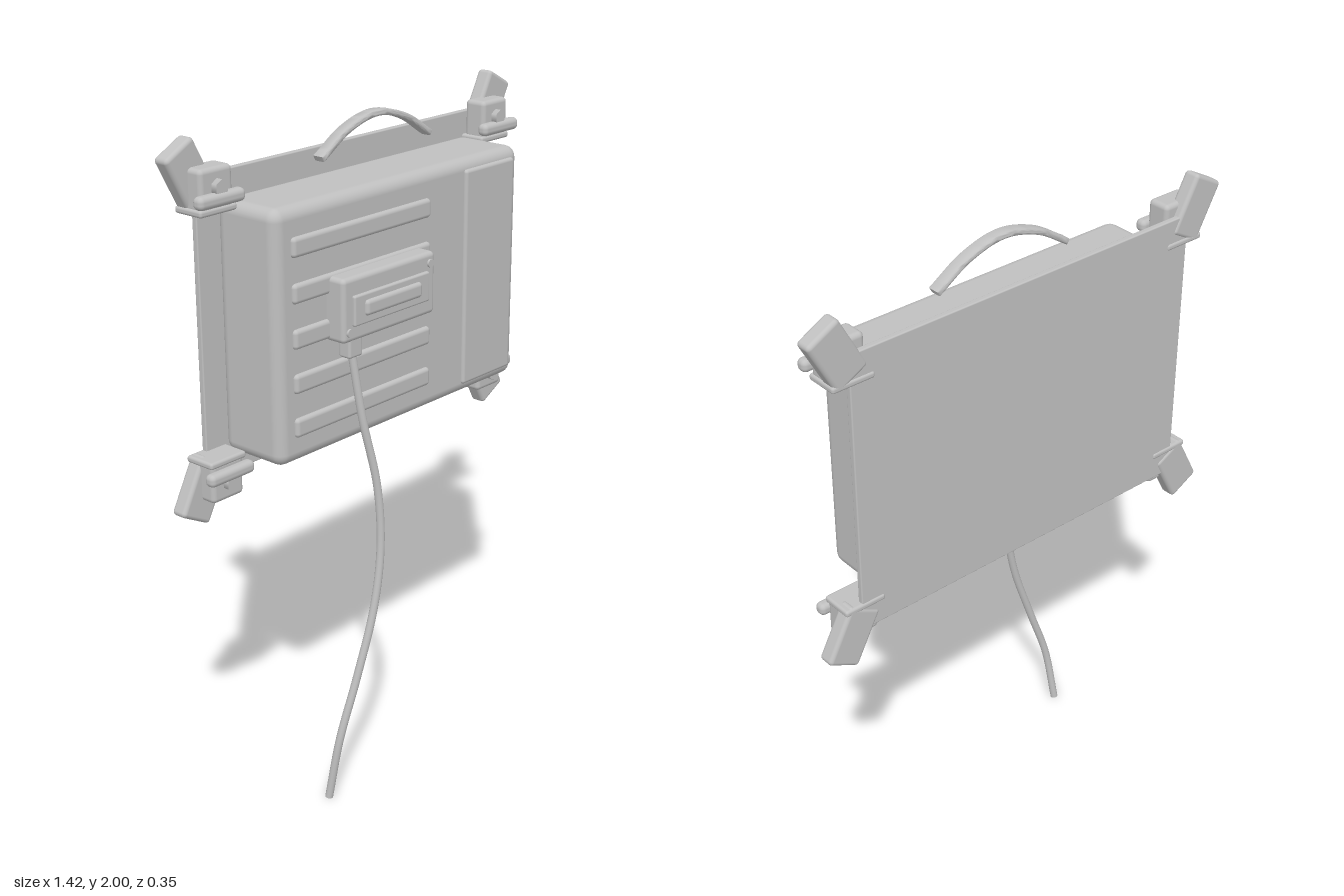
import * as THREE from 'three';
import { RoundedBoxGeometry } from 'three/addons/geometries/RoundedBoxGeometry.js';
import { toCreasedNormals } from 'three/addons/utils/BufferGeometryUtils.js';

export function createModel() {
  const model = new THREE.Group();
  model.name = 'wallUnit';
  const grey = new THREE.MeshStandardMaterial({ color: 0xc0c0c0 });
  grey.name = 'lightGrey';

  const add = (name, geometry, parent = model) => {
    const mesh = new THREE.Mesh(geometry, grey);
    mesh.name = name;
    parent.add(mesh);
    return mesh;
  };
  // Rounded box given by its limits on each axis
  const box = (name, [x0, x1], [y0, y1], [z0, z1], r, parent) => {
    const mesh = add(name, new RoundedBoxGeometry(x1 - x0, y1 - y0, z1 - z0, 3, r), parent);
    mesh.position.set((x0 + x1) / 2, (y0 + y1) / 2, (z0 + z1) / 2);
    return mesh;
  };
  // Cylinder pointing along z
  const stud = (name, x, y, z0, z1, r, sides, parent) => {
    const geo = new THREE.CylinderGeometry(r, r, z1 - z0, sides).rotateX(Math.PI / 2);
    const mesh = add(name, geo, parent);
    mesh.position.set(x, y, (z0 + z1) / 2);
    return mesh;
  };

  // Main body
  box('backPlate', [-0.592, 0.592], [1.02, 1.885], [-0.17, -0.152], 0.004);
  box('housing', [-0.52, 0.52], [1.09, 1.812], [-0.16, 0.064], 0.035);
  box('sidePanel', [0.258, 0.485], [1.122, 1.782], [0.05, 0.074], 0.01);
  for (let i = 0; i < 5; i++) {
    const y = 1.196 + i * 0.127;
    box('rib', [-0.463, 0.1], [y - 0.028, y + 0.028], [0.04, 0.076], 0.012);
  }

  // Control box with raised window and screws
  box('controlBox', [-0.33, 0.055], [1.415, 1.598], [0.05, 0.127], 0.014);
  box('windowFrame', [-0.295, 0.02], [1.46, 1.547], [0.11, 0.137], 0.006);
  box('windowBar', [-0.255, -0.02], [1.482, 1.528], [0.115, 0.147], 0.012);
  stud('screw', 0.03, 1.567, 0.12, 0.133, 0.012, 16);
  stud('screw', -0.307, 1.445, 0.12, 0.133, 0.012, 16);

  // Hanging cable and its plug
  box('cablePlug', [-0.302, -0.247], [1.365, 1.425], [0.08, 0.122], 0.008);
  const path = new THREE.CatmullRomCurve3([
    [-0.275, 1.39, 0.102], [-0.255, 1.18, 0.125], [-0.222, 0.97, 0.15], [-0.222, 0.78, 0.162],
    [-0.255, 0.6, 0.165], [-0.32, 0.39, 0.155], [-0.378, 0.2, 0.138], [-0.402, 0, 0.113],
  ].map((p) => new THREE.Vector3(...p)));
  add('cable', new THREE.TubeGeometry(path, 60, 0.012, 12));
  add('cableEnd', new THREE.CircleGeometry(0.012, 12).rotateX(Math.PI / 2)).position.set(-0.402, 0.001, 0.113);

  // Arched strap handle
  const arch = new THREE.CatmullRomCurve3([
    [-0.223, 1.885], [-0.12, 1.946], [0, 1.974], [0.12, 1.946], [0.223, 1.885],
  ].map(([x, y]) => new THREE.Vector3(x, y, 0)));
  const upper = [];
  const lower = [];
  for (let i = 0; i <= 32; i++) {
    const p = arch.getPoint(i / 32);
    const t = arch.getTangent(i / 32);
    upper.push(new THREE.Vector2(p.x - t.y * 0.003, p.y + t.x * 0.003));
    lower.unshift(new THREE.Vector2(p.x + t.y * 0.003, p.y - t.x * 0.003));
  }
  const strap = new THREE.ExtrudeGeometry(new THREE.Shape([...upper, ...lower]), {
    depth: 0.028, bevelThickness: 0.006, bevelSize: 0.006, bevelSegments: 3,
  });
  add('handle', toCreasedNormals(strap, 0.8)).position.z = -0.067;

  // Corner clamps, mirrored to all four corners about the plate centre
  for (const sx of [-1, 1]) {
    for (const sy of [-1, 1]) {
      const clamp = new THREE.Group();
      clamp.name = 'cornerClamp';
      clamp.position.y = 1.4525;
      model.add(clamp);
      const range = (s, a, b) => (s > 0 ? [a, b] : [-b, -a]);

      const foot = box('clampFoot', [-0.055, 0.055], [-0.09, 0.09], [-0.174, -0.123], 0.012, clamp);
      foot.position.x = sx * 0.624;
      foot.position.y = sy * 0.441;
      foot.rotation.z = -sx * sy * 0.49;

      box('clampBlock', range(sx, 0.525, 0.642), range(sy, 0.35, 0.467), [-0.15, -0.077], 0.014, clamp);
      box('clampBase', range(sx, 0.515, 0.648), range(sy, 0.342, 0.362), [-0.174, -0.074], 0.008, clamp);
      box('clampBar', range(sx, 0.502, 0.668), range(sy, 0.367, 0.404), [-0.086, -0.05], 0.015, clamp);
      stud('clampBolt', sx * 0.583, sy * 0.415, -0.08, -0.058, 0.023, 6, clamp);
    }
  }
  return model;
}
